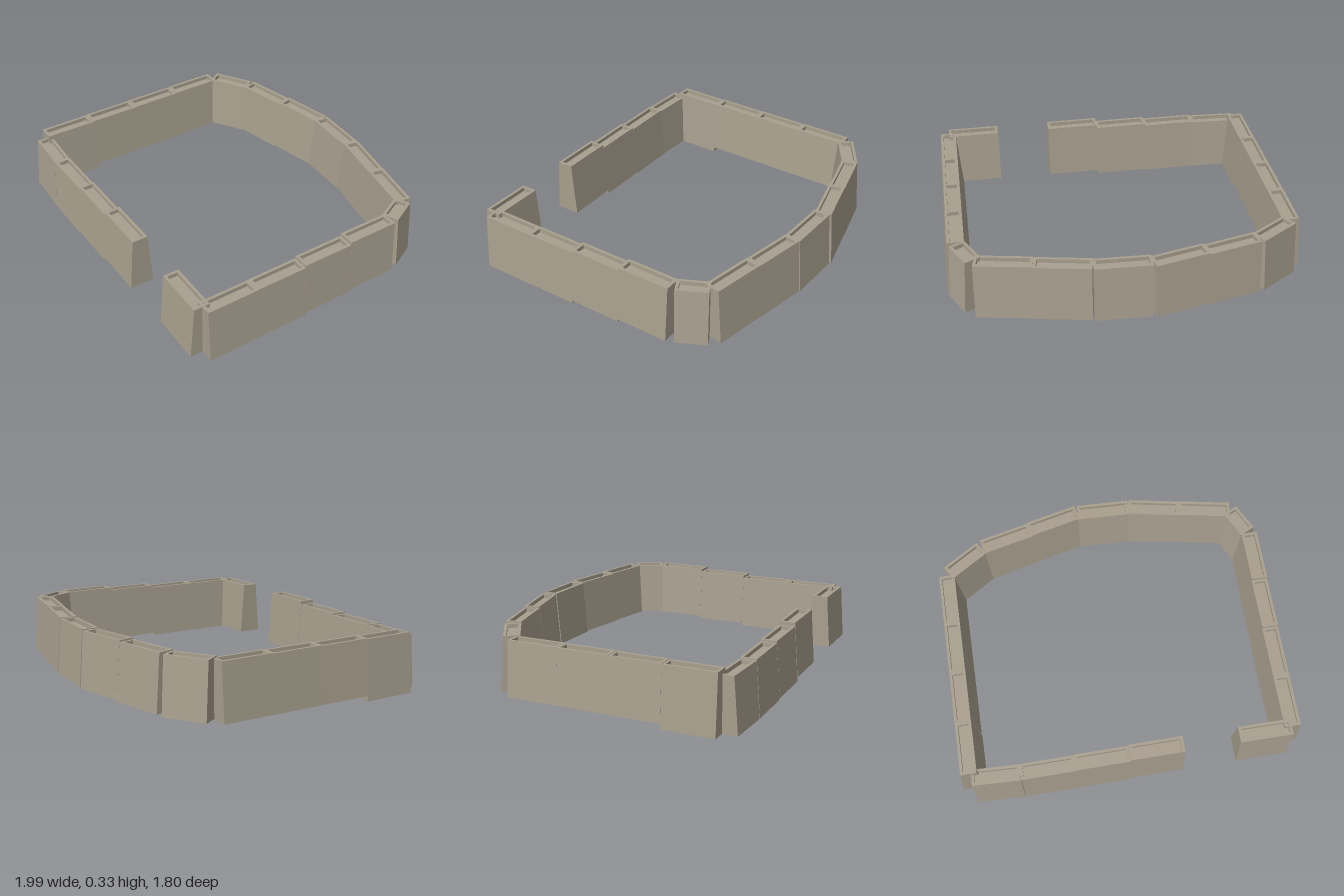
import * as THREE from 'three';

const BASE = 0.122, TOP = 0.08, RIM = 0.014, DEPTH = 0.02;

// Battered wall block along local x, with a sunken walkway in its top
function blockGeometry(len, height) {
  const ring = (l, w, y) => [[-l / 2, y, w / 2], [l / 2, y, w / 2], [l / 2, y, -w / 2], [-l / 2, y, -w / 2]];
  const rings = [
    ring(len, BASE, 0),
    ring(len, TOP, height),
    ring(len - 2 * RIM, TOP - 2 * RIM, height),
    ring(len - 2 * RIM, TOP - 2 * RIM, height - DEPTH),
  ];
  const pos = [];
  const quad = (a, b, c, d) => pos.push(...a, ...b, ...c, ...a, ...c, ...d);
  for (let r = 0; r < 3; r++) {
    for (let i = 0; i < 4; i++) {
      const j = (i + 1) % 4;
      quad(rings[r][i], rings[r][j], rings[r + 1][j], rings[r + 1][i]);
    }
  }
  quad(...rings[3]); // walkway floor
  quad(...[...rings[0]].reverse()); // underside
  const geo = new THREE.BufferGeometry();
  geo.setAttribute('position', new THREE.Float32BufferAttribute(pos, 3));
  geo.computeVertexNormals();
  return geo;
}

// Each run: start and end on the ground plan, then [bottom, top] of each block
const RUNS = [
  ['leftWall', [-0.947, 0.123], [-0.476, -0.818], [[0, 0.293], [0.027, 0.296], [0.027, 0.298], [0.028, 0.3]]],
  ['frontLeftCorner', [-0.945, 0.14], [-0.738, 0.254], [[0, 0.27]]],
  ['frontLeftWall', [-0.738, 0.254], [-0.016, 0.604], [[0, 0.275], [0.006, 0.285], [0.027, 0.304]]],
  ['frontRightStub', [0.23, 0.724], [0.464, 0.84], [[0.032, 0.305]]],
  ['rightWall', [0.47, 0.84], [0.93, -0.1], [[0.029, 0.304], [0.031, 0.306], [0.045, 0.319], [0.058, 0.333]]],
  ['rightCorner', [0.93, -0.112], [0.93, -0.262], [[0.06, 0.333]]],
  ['backRightWall', [0.93, -0.267], [0.508, -0.588], [[0.058, 0.332], [0.055, 0.329]]],
  ['backRightBend', [0.508, -0.588], [0.273, -0.716], [[0.05, 0.325]]],
  ['backWall', [0.273, -0.722], [-0.24, -0.845], [[0.045, 0.32], [0.038, 0.312]]],
  ['backLeftCorner', [-0.246, -0.845], [-0.46, -0.823], [[0.032, 0.306]]],
];

export function createModel() {
  const model = new THREE.Group();
  model.name = 'perimeterWall';
  const stone = new THREE.MeshStandardMaterial({ color: 0xa89f8e });
  stone.name = 'stone';

  for (const [name, [x0, z0], [x1, z1], blocks] of RUNS) {
    const run = new THREE.Group();
    run.name = name;
    const dx = x1 - x0, dz = z1 - z0;
    const len = Math.hypot(dx, dz) / blocks.length;
    blocks.forEach(([bottom, top], i) => {
      const t = (i + 0.5) / blocks.length;
      const mesh = new THREE.Mesh(blockGeometry(len, top - bottom), stone);
      mesh.name = 'wallBlock';
      mesh.position.set(x0 + dx * t, bottom, z0 + dz * t);
      mesh.rotation.y = -Math.atan2(dz, dx);
      run.add(mesh);
    });
    model.add(run);
  }
  return model;
}
